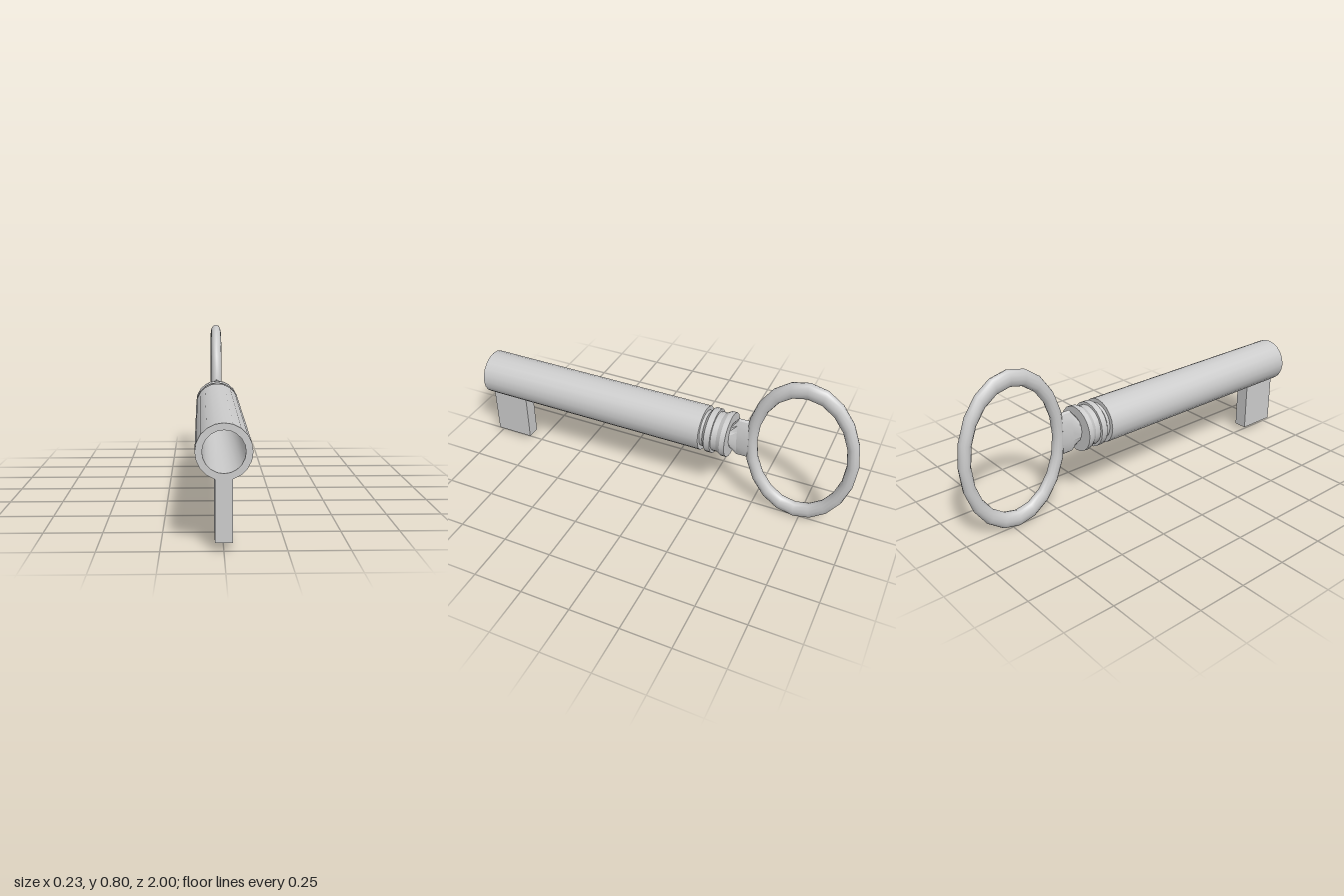
import * as THREE from 'three';
import { toCreasedNormals } from 'three/addons/utils/BufferGeometryUtils.js';

const material = new THREE.MeshStandardMaterial({ color: 0xcccccc });
const AXIS_Y = 0.395;

function part(name, geometry, y, z) {
  const mesh = new THREE.Mesh(geometry, material);
  mesh.name = name;
  mesh.position.set(0, y, z);
  return mesh;
}

// Turned solid along z; profile is [radius, z] from back to front
function turned(profile) {
  const points = profile.map(([r, z]) => new THREE.Vector2(r, z));
  return toCreasedNormals(new THREE.LatheGeometry(points, 20).rotateX(Math.PI / 2), 0.45);
}

// Neck: round at the collar, flattening into a tall thin blade at the bow
function neckGeometry() {
  const sections = [
    { z: -0.465, rx: 0.028, ry: 0.11 },
    { z: -0.405, rx: 0.028, ry: 0.11 },
    { z: -0.365, rx: 0.055, ry: 0.055 },
  ];
  const geometry = new THREE.CylinderGeometry(1, 1, 2, 16, 2).rotateX(Math.PI / 2);
  const pos = geometry.attributes.position;
  for (let i = 0; i < pos.count; i++) {
    const s = sections[Math.round(pos.getZ(i)) + 1];
    pos.setXYZ(i, pos.getX(i) * s.rx, pos.getY(i) * s.ry, s.z);
  }
  return toCreasedNormals(geometry, 0.45);
}

export function createModel() {
  const key = new THREE.Group();
  key.name = 'key';

  // Hollow shaft with an open bore at the front
  key.add(part('shaft', turned([
    [0, -0.235], [0.113, -0.235], [0.113, 1], [0.085, 1], [0.085, 0], [0, 0],
  ]), AXIS_Y, 0));

  // Two collar rings separated by grooves
  key.add(part('collar', turned([
    [0, -0.372], [0.113, -0.372], [0.113, -0.347], [0.1, -0.325], [0.1, -0.297],
    [0.113, -0.297], [0.113, -0.266], [0.092, -0.25], [0.092, -0.233], [0, -0.233],
  ]), AXIS_Y, 0));

  key.add(part('neck', neckGeometry(), AXIS_Y, 0));

  // Oval bow, a ring stretched vertically
  const bow = new THREE.TorusGeometry(0.249, 0.029, 12, 20).rotateY(Math.PI / 2);
  bow.scale(1, 0.398 / 0.278, 1);
  key.add(part('bow', bow, 0.398, -0.722));

  // Bit hanging below the front of the shaft
  key.add(part('bit', new THREE.BoxGeometry(0.07, 0.265, 0.2), 0.1655, 0.9));

  return key;
}
